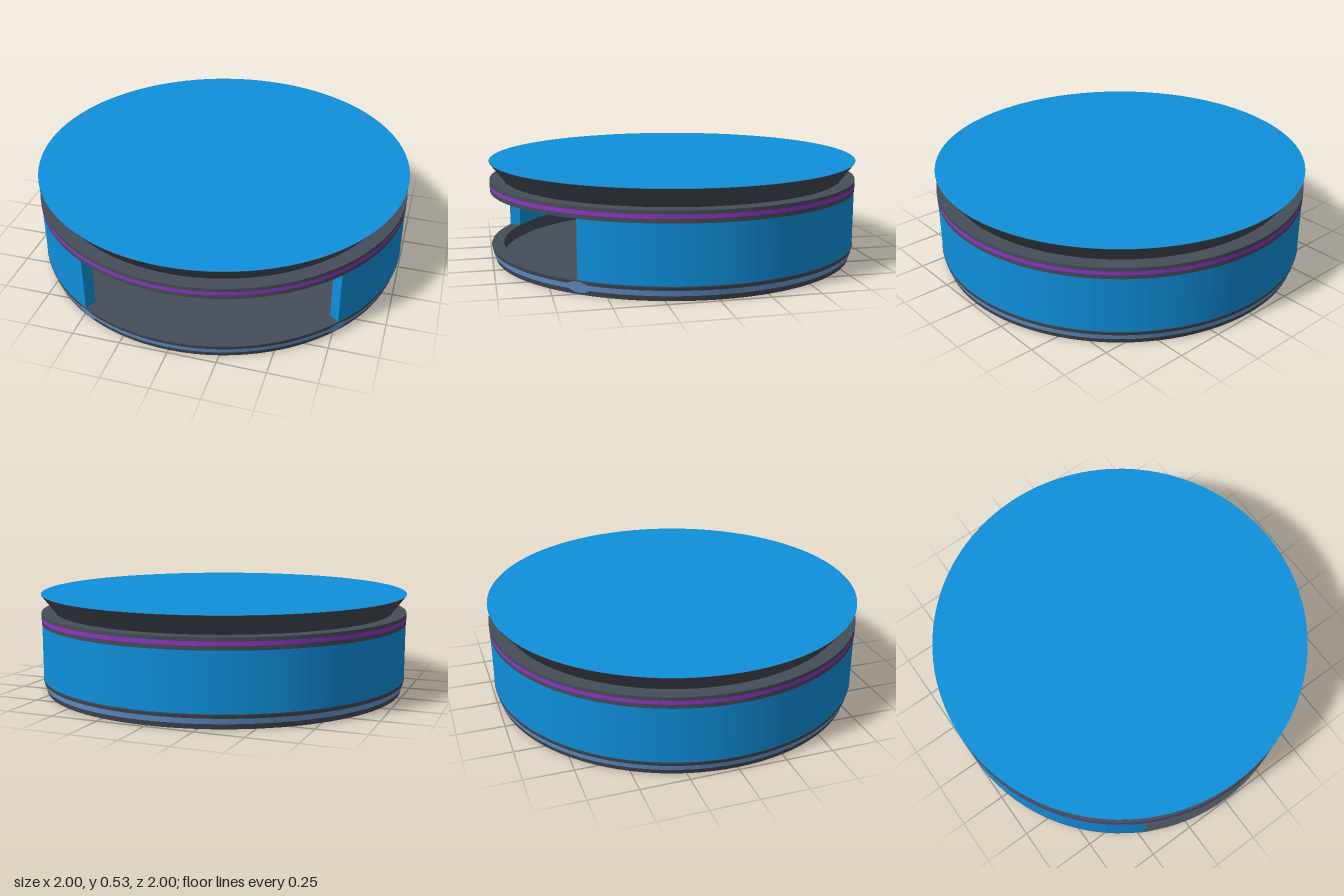
import * as THREE from 'three';

const SEG = 96;
const mat = (color) => new THREE.MeshStandardMaterial({ color, flatShading: true, side: THREE.DoubleSide });
const blue = mat(0x0e90dc), dark = mat(0x454d57), purple = mat(0x8f35c4), paleBlue = mat(0x6a9cd6);

// Opening corners, as angles from +z towards +x
const OPEN_A = Math.atan2(-0.475, 0.88), OPEN_B = Math.atan2(0.775, 0.632);
const WALL_IN = 0.935, BASE_TOP = 0.075, WALL_TOP = 0.37, RING_TOP = 0.43, TOP = 0.53;
const baseRadius = (y) => 0.98 + 0.02 * Math.min(1, y / 0.07);

export function createModel() {
  const group = new THREE.Group();
  const add = (name, geometry, material) => {
    const mesh = new THREE.Mesh(geometry, material);
    mesh.name = name;
    group.add(mesh);
    return mesh;
  };
  const lathe = (name, points, material, seg = SEG) =>
    add(name, new THREE.LatheGeometry(points.map(([r, y]) => new THREE.Vector2(r, y)), seg), material);

  // Shallow tray: recessed floor with a raised, slightly tapered rim
  lathe('baseTray', [
    [0.32, 0], [0.98, 0], [1, 0.07], [1, BASE_TOP], [WALL_IN, BASE_TOP],
    [WALL_IN, 0.006], [0.32, 0.006], [0.32, 0],
  ], dark);

  // Round panel set into the middle of the floor
  const panel = add('floorPanel', new THREE.CylinderGeometry(0.324, 0.324, 0.008, 16), blue);
  panel.position.y = 0.004;
  panel.rotation.y = Math.PI / 16;

  // Stripe around the base
  lathe('baseStripe', [0.026, 0.054].map((y) => [baseRadius(y) + 0.001, y]), paleBlue);

  // Lozenges on the stripe under the two corners of the opening
  for (const angle of [OPEN_A, OPEN_B]) {
    const geo = new THREE.PlaneGeometry(2, 2, 12, 2);
    const p = geo.attributes.position;
    for (let i = 0; i < p.count; i++) {
      const u = p.getX(i), v = p.getY(i);
      const y = 0.04 + v * 0.03 * Math.min(1, 1.3 * (1 - Math.abs(u)));
      const a = angle + u * 0.09, r = baseRadius(y) + 0.002;
      p.setXYZ(i, Math.sin(a) * r, y, Math.cos(a) * r);
    }
    geo.computeVertexNormals();
    add('stripeLozenge', geo, paleBlue);
  }

  // Curved wall, open at the front
  const start = OPEN_B - Math.PI / 2, end = OPEN_A + Math.PI * 1.5;
  const arc = new THREE.Shape();
  arc.absarc(0, 0, 0.998, start, end, false);
  arc.absarc(0, 0, WALL_IN, end, start, true);
  arc.closePath();
  const wall = new THREE.ExtrudeGeometry(arc, { depth: WALL_TOP - BASE_TOP, bevelEnabled: false, curveSegments: 72 });
  wall.rotateX(-Math.PI / 2).translate(0, BASE_TOP, 0);
  add('wall', wall, blue);

  // Ring on top of the wall, with its stripe
  lathe('upperRing', [
    [WALL_IN, WALL_TOP], [1, WALL_TOP], [1, RING_TOP], [0.9, RING_TOP], [WALL_IN, WALL_TOP],
  ], dark);
  lathe('upperStripe', [[1.001, 0.391], [1.001, 0.412]], purple);

  // Flared roof edge with a closed ceiling, and the roof disc
  lathe('roofFlare', [[0, RING_TOP], [0.925, RING_TOP], [1, TOP - 0.002]], dark);
  const roof = add('roof', new THREE.CircleGeometry(1, SEG), blue);
  roof.rotation.x = -Math.PI / 2;
  roof.position.y = TOP;

  return group;
}
